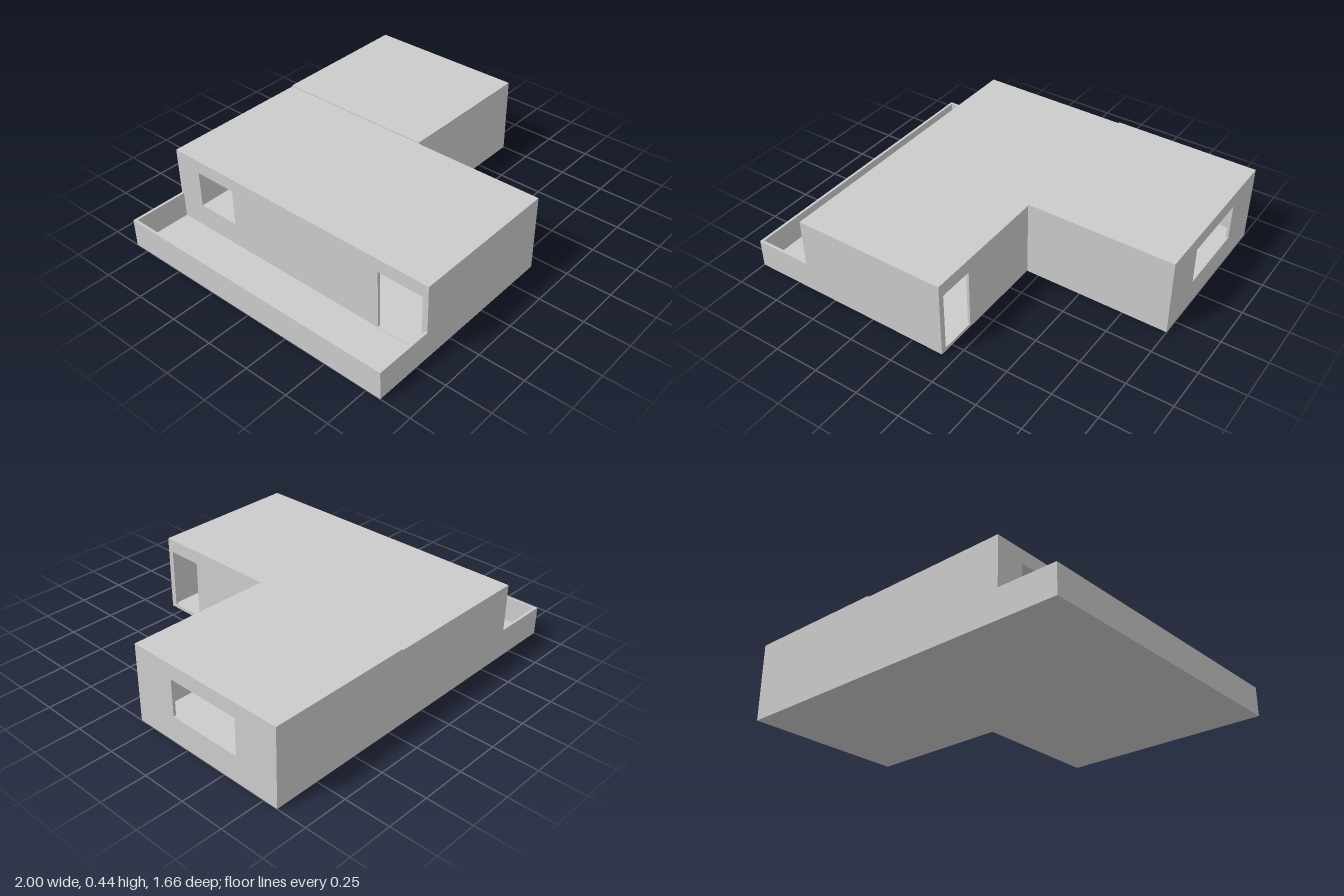
import * as THREE from 'three';

const T = 0.015; // wall thickness
const material = new THREE.MeshStandardMaterial({ color: 0xcccccc, flatShading: true });

// Axis-aligned block between two corners
function block(name, [x0, y0, z0], [x1, y1, z1]) {
  const mesh = new THREE.Mesh(new THREE.BoxGeometry(x1 - x0, y1 - y0, z1 - z0), material);
  mesh.position.set((x0 + x1) / 2, (y0 + y1) / 2, (z0 + z1) / 2);
  mesh.name = name;
  return mesh;
}

// Wall running along z with outer face at xMax; openings are [z0, z1, y0, y1]
function sideWall(name, xMax, z0, z1, y0, y1, openings = []) {
  const rect = (Kind, a, b, c, d) => {
    const path = new Kind();
    path.moveTo(a, c);
    path.lineTo(b, c);
    path.lineTo(b, d);
    path.lineTo(a, d);
    path.closePath();
    return path;
  };
  const shape = rect(THREE.Shape, z0, z1, y0, y1);
  for (const o of openings) shape.holes.push(rect(THREE.Path, ...o));
  const geometry = new THREE.ExtrudeGeometry(shape, { depth: T, bevelEnabled: false });
  const mesh = new THREE.Mesh(geometry, material);
  mesh.rotation.y = -Math.PI / 2;
  mesh.position.x = xMax;
  mesh.name = name;
  return mesh;
}

export function createModel() {
  const house = new THREE.Group();
  house.name = 'house';

  const xTerrace = -1, xMain = -0.675, xWing = 0.18, xEnd = 1;
  const zBack = -0.832, zFront = 0.832, zWing = 0.09;
  const floorTop = 0.016, mainTop = 0.43, wingTop = 0.437, parapetTop = 0.16;
  const roof = 0.012;

  // Floor slabs
  house.add(
    block('mainFloor', [xTerrace, 0, zBack], [xWing, floorTop, zFront]),
    block('wingFloor', [xWing, 0, zBack], [xEnd, floorTop, zWing])
  );

  // Main block: end walls, door and window walls, roof
  const mainWallTop = mainTop - roof;
  for (const [name, z] of [['mainBackWall', zBack], ['mainFrontWall', zFront - T]]) {
    house.add(block(name, [xMain, floorTop, z], [xWing, mainWallTop, z + T]));
  }
  house.add(
    sideWall('mainEntranceWall', xWing, zBack + T, zFront - T, floorTop, mainWallTop,
      [[0.6, 0.8, 0.02, 0.355]]),
    sideWall('mainTerraceWall', xMain + T, zBack + T, zFront - T, floorTop, mainWallTop,
      [[0.54, 0.8, 0.02, 0.355], [-0.67, -0.42, 0.15, 0.355]]),
    block('mainRoof', [xMain, mainWallTop, zBack], [xWing, mainTop, zFront])
  );

  // Side wing: back and front walls, window wall, roof
  const wingWallTop = wingTop - roof;
  for (const [name, z] of [['wingBackWall', zBack], ['wingFrontWall', zWing - T]]) {
    house.add(block(name, [xWing, floorTop, z], [xEnd, wingWallTop, z + T]));
  }
  house.add(
    sideWall('wingWindowWall', xEnd, zBack + T, zWing - T, floorTop, wingWallTop,
      [[-0.58, -0.16, 0.148, 0.355]]),
    block('wingRoof', [xWing, wingWallTop, zBack], [xEnd, wingTop, zWing])
  );

  // Low parapet around the terrace
  for (const [name, z] of [['terraceBackParapet', zBack], ['terraceFrontParapet', zFront - T]]) {
    house.add(block(name, [xTerrace, floorTop, z], [xMain, parapetTop, z + T]));
  }
  house.add(sideWall('terraceSideParapet', xTerrace + T, zBack + T, zFront - T, floorTop, parapetTop));

  return house;
}
